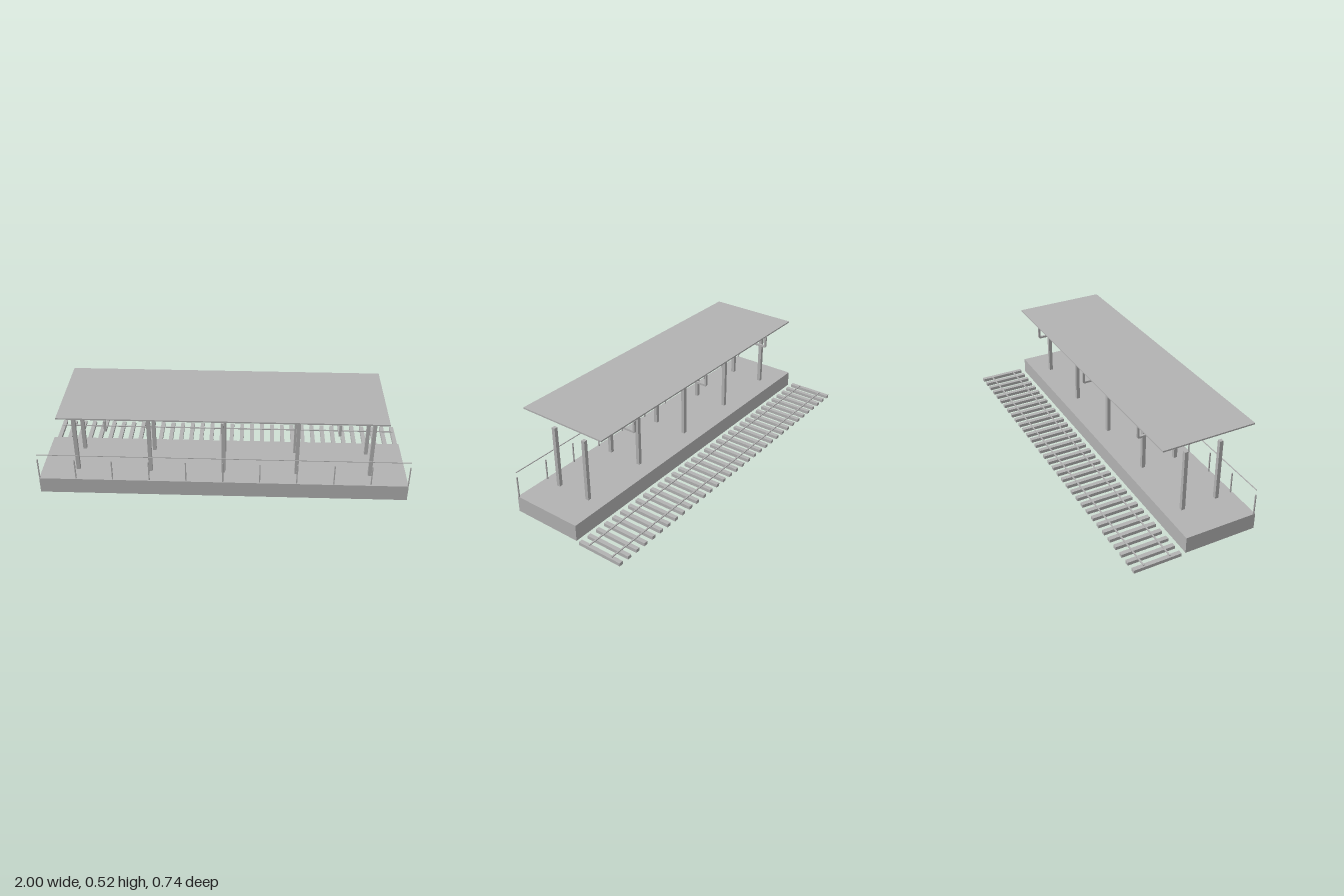
import * as THREE from 'three';

export function createModel() {
  const group = new THREE.Group();
  const grey = new THREE.MeshStandardMaterial({ color: 0xb2b2b2 });
  grey.name = 'plainGrey';

  // box given by its extents on each axis
  const box = (name, [x0, x1], [y0, y1], [z0, z1], parent = group) => {
    const mesh = new THREE.Mesh(new THREE.BoxGeometry(x1 - x0, y1 - y0, z1 - z0), grey);
    mesh.position.set((x0 + x1) / 2, (y0 + y1) / 2, (z0 + z1) / 2);
    mesh.name = name;
    parent.add(mesh);
  };
  const around = (c, size) => [c - size / 2, c + size / 2];
  const part = (name) => {
    const g = new THREE.Group();
    g.name = name;
    group.add(g);
    return g;
  };
  const cx = -0.002; // platform centre line
  const bay = 0.395;

  box('platform', [-0.989, 0.985], [0, 0.09], [-0.083, 0.312]);
  box('roof', [-0.841, 0.836], [0.508, 0.516], [-0.142, 0.37]);

  // two rows of roof posts
  const posts = part('roofPosts');
  for (let i = -2; i <= 2; i++)
    for (const z of [0.016, 0.213])
      box('roofPost', around(cx + i * bay, 0.02), [0.09, 0.435], around(z, 0.02), posts);

  // open frames hanging under the roof
  for (const i of [-1.5, 0, 1.5]) {
    const frame = part('roofFrame');
    const x = around(cx + i * bay, 0.012);
    box('lowerBeam', x, [0.435, 0.446], [-0.133, 0.362], frame);
    box('upperBeam', x, [0.497, 0.508], [-0.133, 0.362], frame);
    for (const z of [-0.1325, 0.115, 0.3625])
      box('strut', x, [0.441, 0.502], around(z, 0.011), frame);
  }

  // fence along the front edge, with its handrail above the stakes
  const fence = part('fence');
  for (let i = -5; i <= 5; i++)
    box('fencePost', around(cx + i * bay / 2 * 0.998, 0.006), [0.09, 0.208], around(0.303, 0.006), fence);
  box('handrail', [-0.989, 0.985], [0.236, 0.24], around(0.303, 0.004), fence);

  // railway track behind the platform
  const track = part('track');
  const ties = 34, tieWidth = 0.023;
  for (let i = 0; i < ties; i++) {
    const x = -1 + tieWidth / 2 + (i * (2 - tieWidth)) / (ties - 1);
    box('tie', around(x, tieWidth), [0, 0.018], [-0.37, -0.113], track);
  }
  for (const z of [-0.171, -0.313])
    box('rail', [-0.99, 0.99], [0.018, 0.023], around(z, 0.007), track);

  return group;
}
